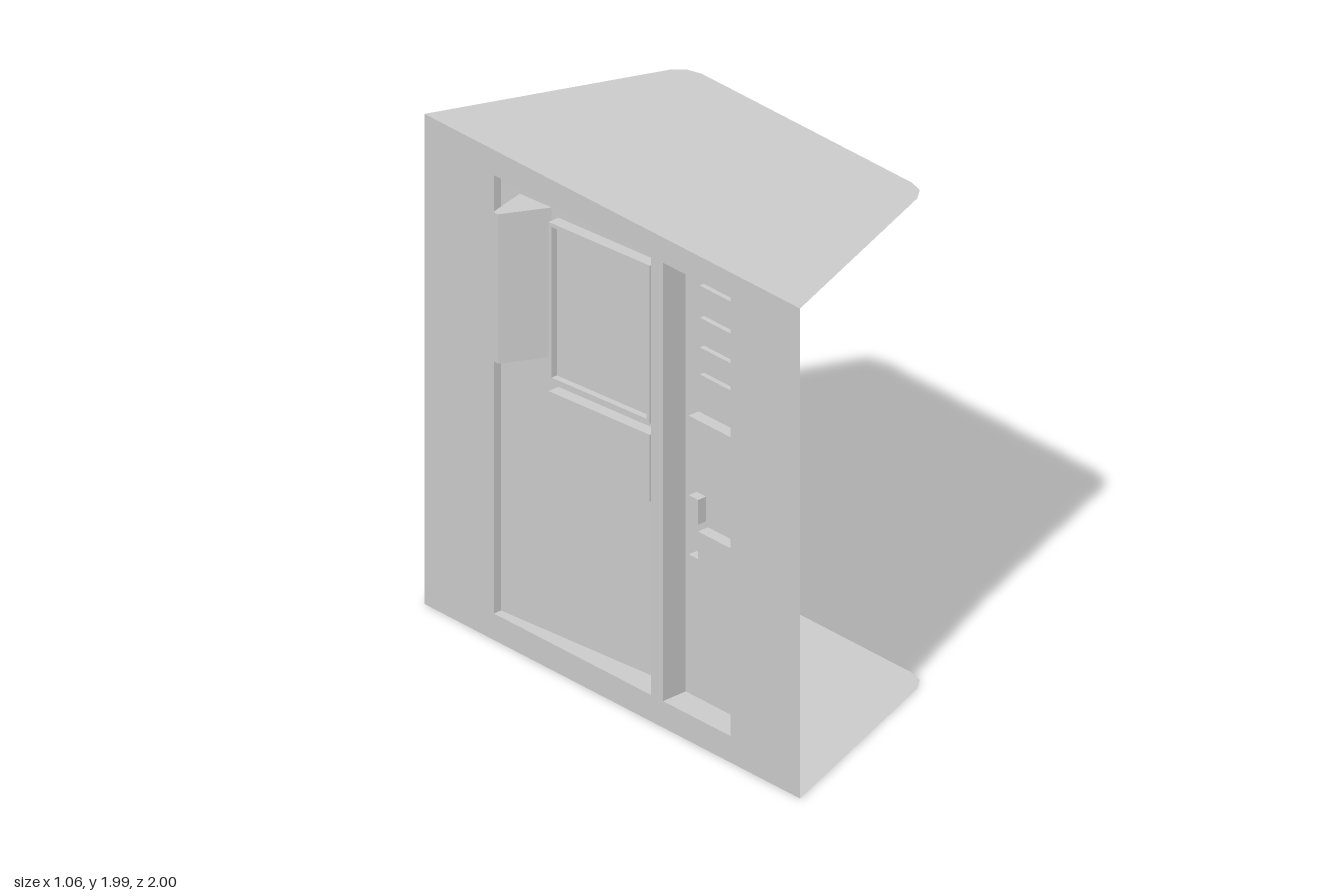
import * as THREE from 'three';

const WALL_X = -0.41, BACK_X = -0.30, HEIGHT = 1.985;
const SLANT = 0.09, SLANT_Z = 0.207; // the wide recess gets shallower away from SLANT_Z

export function createModel() {
  const model = new THREE.Group();
  const solid = new THREE.MeshStandardMaterial({ color: 0xcccccc, flatShading: true });
  const sheet = new THREE.MeshStandardMaterial({ color: 0xcccccc, flatShading: true, side: THREE.DoubleSide });

  const add = (name, geometry, material = solid) => {
    const mesh = new THREE.Mesh(geometry, material);
    mesh.name = name;
    model.add(mesh);
  };
  // Box given by its limits on each axis
  const span = (x0, x1, y0, y1, z0, z1) =>
    new THREE.BoxGeometry(x1 - x0, y1 - y0, z1 - z0)
      .translate((x0 + x1) / 2, (y0 + y1) / 2, (z0 + z1) / 2);
  // Rectangle in the wall plane; turned a quarter so that shape x becomes -z
  const rect = (z0, z1, y0, y1, Type = THREE.Shape) => new Type([
    [-z1, y0], [-z0, y0], [-z0, y1], [-z1, y1],
  ].map(([a, b]) => new THREE.Vector2(a, b)));
  // Lean a part along the slanted back, from wallLimit inward
  const lean = (geometry, wallLimit = -Infinity) => {
    const p = geometry.attributes.position;
    for (let i = 0; i < p.count; i++) {
      if (p.getX(i) > wallLimit) p.setX(i, p.getX(i) + SLANT * (p.getZ(i) - SLANT_Z));
    }
    geometry.computeVertexNormals();
    return geometry;
  };

  // Floor and ceiling sheets with clipped far corners
  const half = [[WALL_X, 1], [0.465, 0.66], [0.512, 0.62], [0.53, 0.56]];
  const outline = [...half, ...half.map(([x, z]) => [x, -z]).reverse()]
    .map(([x, z]) => new THREE.Vector2(x, z));
  for (const [name, y] of [['floor', 0], ['ceiling', HEIGHT]]) {
    add(name, new THREE.ShapeGeometry(new THREE.Shape(outline)).rotateX(Math.PI / 2).translate(0, y, 0), sheet);
  }

  // Wall with two openings, each backed by a shallow open tray
  const wall = rect(-1, 1, 0, HEIGHT);
  for (const [name, z0, z1] of [['wideRecess', -0.63, SLANT_Z], ['narrowRecess', 0.27, 0.63]]) {
    wall.holes.push(rect(z0, z1, 0.107, 1.883, THREE.Path));
    const tray = span(WALL_X, BACK_X, 0.107, 1.883, z0, z1);
    const index = Array.from(tray.index.array);
    index.splice(6, 6); // drop the side that faces outward
    tray.setIndex(index);
    tray.clearGroups();
    add(name, name === 'wideRecess' ? lean(tray, WALL_X + 0.01) : tray, sheet);
  }
  add('wall', new THREE.ShapeGeometry(wall).rotateY(Math.PI / 2).translate(WALL_X, 0, 0), sheet);

  // Cabinets on the slanted back; the upper one has an inset face
  const rim = rect(-0.35, 0.14, 1.16, 1.8);
  rim.holes.push(rect(-0.335, 0.125, 1.175, 1.785, THREE.Path));
  add('cabinetRim', lean(new THREE.ExtrudeGeometry(rim, { depth: 0.025, bevelEnabled: false })
    .rotateY(Math.PI / 2).translate(-0.35, 0, 0)));
  add('cabinetBack', lean(span(-0.325, -0.302, 1.16, 1.8, -0.35, 0.14)));
  add('lowerCabinet', lean(span(-0.35, -0.302, 0.845, 1.115, -0.35, 0.14)));

  // Tapered upright standing out from the slanted back
  const taper = new THREE.Shape([[-0.365, -0.54], [-0.53, -0.5], [-0.53, -0.475], [-0.353, -0.385]]
    .map(([x, z]) => new THREE.Vector2(x, z)));
  add('taperedUpright', new THREE.ExtrudeGeometry(taper, { depth: 0.605, bevelEnabled: false })
    .rotateX(Math.PI / 2).translate(0, 1.828, 0));

  // Units in the narrow recess: bottom, top, near end in z
  const units = [
    [1.71, 1.82, 0.4], [1.6, 1.69, 0.4], [1.48, 1.57, 0.4], [1.37, 1.46, 0.4],
    [1.06, 1.27, 0.34], [0.15, 0.82, 0.39],
  ];
  units.forEach(([y0, y1, z0], i) =>
    add(`rackUnit${i + 1}`, span(-0.35, -0.302, y0, y1, z0, 0.61)));
  add('rackBacking', span(-0.33, -0.302, 1.37, 1.82, 0.37, 0.61));
  // Small fittings beside the lowest unit
  for (const y of [0.6, 0.84]) add('smallFitting', span(-0.34, -0.302, y, y + 0.1, 0.33, 0.38));

  return model;
}
